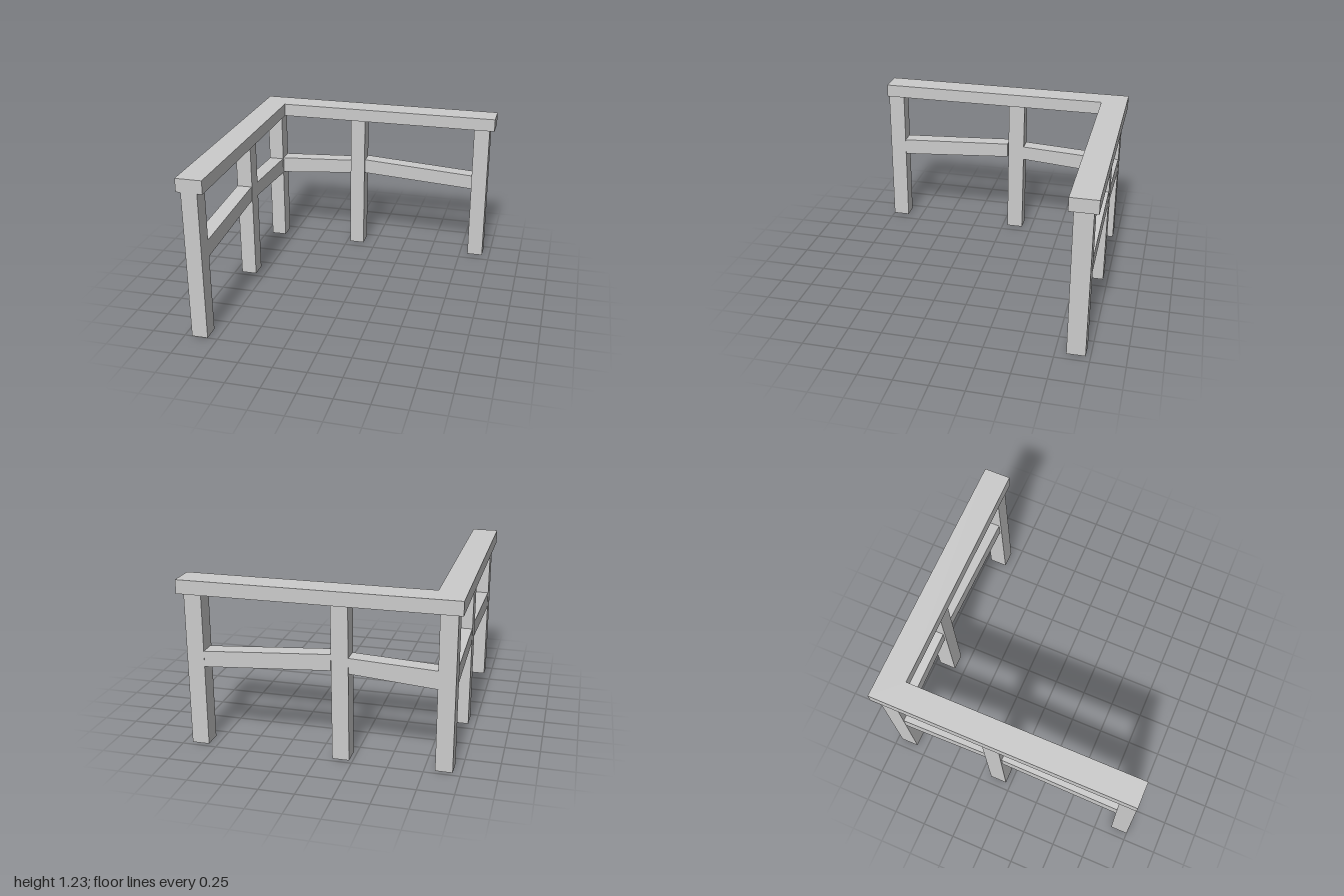
import * as THREE from 'three';

const material = new THREE.MeshStandardMaterial({ color: 0xcccccc, flatShading: true });

// Extrudes an outline of [a, b] points from depth d0 to d1.
function prism(points, d0, d1) {
  const shape = new THREE.Shape(points.map(([a, b]) => new THREE.Vector2(a, b)));
  return new THREE.ExtrudeGeometry(shape, { depth: d1 - d0, bevelEnabled: false }).translate(0, 0, d0);
}

// Upright post, optionally leaning sideways towards its top.
function post(x0, x1, z0, z1, lean = 0) {
  const top = 1.13;
  return prism([[x0, 0], [x1, 0], [x1 + lean, top], [x0 + lean, top]], z0, z1);
}

// Sloping slat between u0 and u1; each end has its [bottom, top] height.
function slat(u0, [b0, t0], u1, [b1, t1], d0, d1) {
  return prism([[u0, b0], [u1, b1], [u1, t1], [u0, t0]], d0, d1);
}

export function createModel() {
  const group = new THREE.Group();
  const add = (name, geometry) => {
    const mesh = new THREE.Mesh(geometry, material);
    mesh.name = name;
    group.add(mesh);
  };

  // L-shaped top rail, outlined in (x, -z)
  add('topRail', prism(
    [[-0.98, -1], [-0.785, -1], [-0.785, 0.8], [0.98, 0.8], [0.98, 1], [-0.98, 1]], 1.125, 1.225
  ).rotateX(-Math.PI / 2));

  // Posts
  add('cornerPost', post(-0.945, -0.825, -0.965, -0.83));
  add('backMiddlePost', post(-0.224, -0.104, -0.965, -0.83, 0.008));
  add('backEndPost', post(0.815, 0.94, -0.965, -0.83));
  add('sideMiddlePost', post(-0.945, -0.825, -0.17, -0.04));
  add('sideEndPost', post(-0.945, -0.825, 0.87, 1));

  // Slats of the back wing
  add('backInnerSlat', slat(-0.83, [0.595, 0.725], -0.21, [0.645, 0.757], -0.963, -0.845));
  add('backOuterSlat', slat(-0.096, [0.655, 0.772], 0.82, [0.595, 0.71], -0.963, -0.845));

  // Slats of the side wing, built along x and turned to run along z
  const side = (name, ...args) => add(name, slat(...args, 0.827, 0.943).rotateY(-Math.PI / 2));
  side('sideInnerSlat', -0.84, [0.592, 0.72], -0.168, [0.645, 0.757]);
  side('sideOuterSlat', -0.032, [0.655, 0.77], 0.88, [0.593, 0.722]);

  return group;
}
